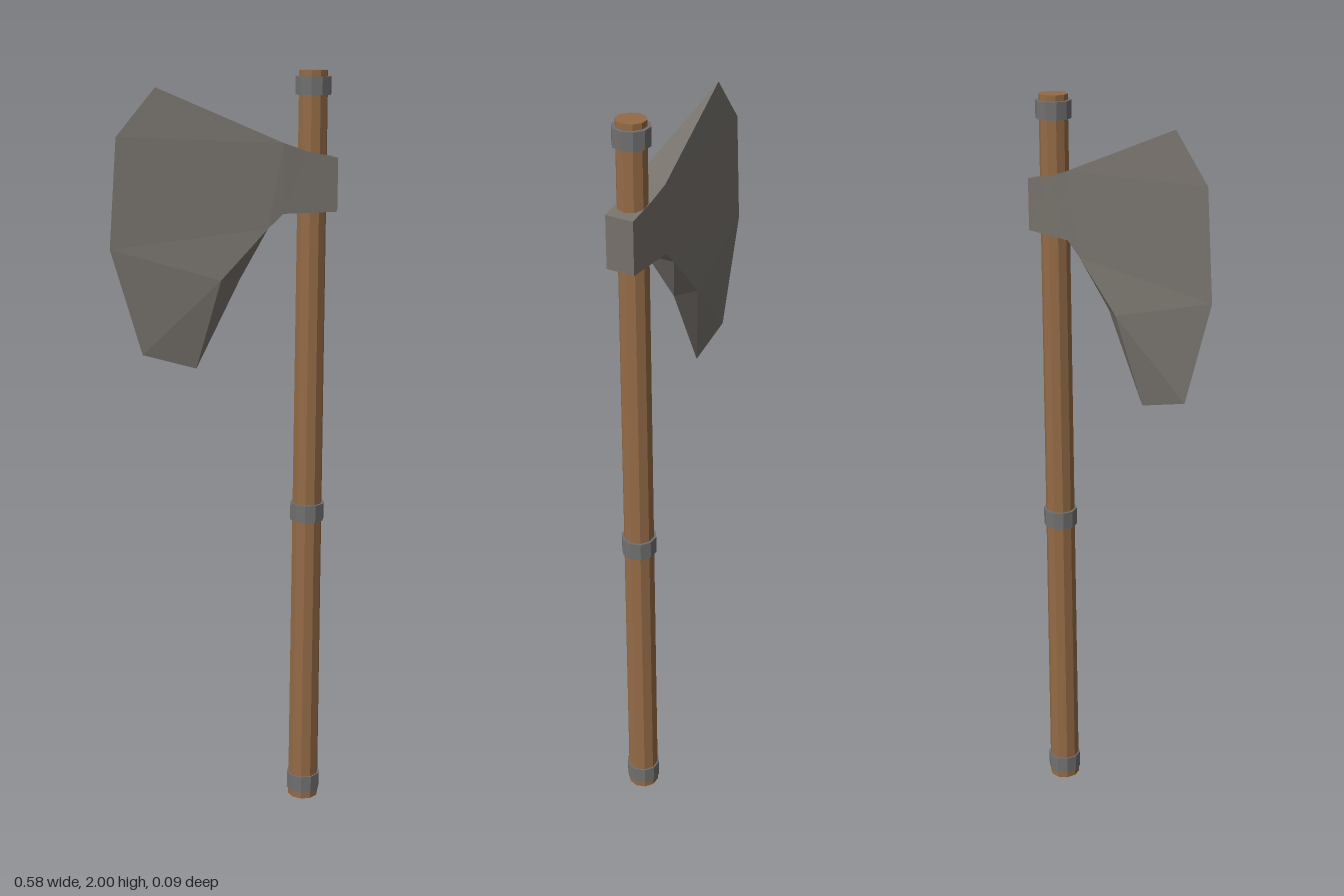
import * as THREE from 'three';

const mat = (name, color) => {
  const m = new THREE.MeshStandardMaterial({ color, flatShading: true });
  m.name = name;
  return m;
};

// Axe head corners: x, y, half thickness in z
const P = {
  buttLow: [0.289, 1.65, 0.037], buttHigh: [0.289, 1.785, 0.037],
  eyeTop: [0.21, 1.802, 0.037], neckTop: [0.15, 1.823, 0.039],
  toe: [-0.17, 1.96, 0], edgeHigh: [-0.27, 1.84, 0],
  edgeMid: [-0.29, 1.56, 0], edgeLow: [-0.21, 1.285, 0],
  heel: [-0.07, 1.245, 0], beard: [-0.01, 1.48, 0.036],
  spine: [0.046, 1.48, 0], neckLow: [0.11, 1.61, 0.038],
  eyeLow: [0.15, 1.647, 0.038],
};

// Cheek triangles, counter-clockwise from the front
const cheek = [
  'toe edgeHigh neckTop', 'edgeHigh edgeMid neckTop', 'edgeMid neckLow neckTop',
  'edgeMid beard neckLow', 'edgeMid edgeLow beard', 'edgeLow heel beard',
  'heel spine beard', 'beard spine neckLow', 'neckTop neckLow eyeLow',
  'neckTop eyeLow eyeTop', 'eyeTop eyeLow buttLow', 'eyeTop buttLow buttHigh',
];
// Rim that joins the two cheeks, in counter-clockwise order
const rim = ['spine', 'neckLow', 'eyeLow', 'buttLow', 'buttHigh', 'eyeTop', 'neckTop', 'toe'];

function axeHeadGeometry() {
  const pos = [];
  const corner = (n, side) => [P[n][0], P[n][1], P[n][2] * side];
  const tri = (...pts) => pts.forEach((p) => pos.push(...p));
  for (const face of cheek) {
    const [a, b, c] = face.split(' ');
    tri(corner(a, 1), corner(b, 1), corner(c, 1));
    tri(corner(a, -1), corner(c, -1), corner(b, -1));
  }
  for (let i = 0; i < rim.length - 1; i++) {
    const [a, b] = [rim[i], rim[i + 1]];
    if (P[a][2] > 0) tri(corner(a, 1), corner(a, -1), corner(b, -1));
    if (P[b][2] > 0) tri(corner(a, 1), corner(b, -1), corner(b, 1));
  }
  const g = new THREE.BufferGeometry();
  g.setAttribute('position', new THREE.Float32BufferAttribute(pos, 3));
  g.computeVertexNormals();
  return g;
}

export function createModel() {
  const group = new THREE.Group();
  group.name = 'axe';
  const wood = mat('wood', 0x946b46);
  const steel = mat('steel', 0x76716b);
  const iron = mat('iron', 0x707070);
  const shaftX = 0.23;

  // Ten-sided rod standing on the shaft axis
  const rod = (name, rTop, rBottom, y0, y1, material) => {
    const g = new THREE.CylinderGeometry(rTop, rBottom, y1 - y0, 10);
    g.rotateY(Math.PI / 2);
    const m = new THREE.Mesh(g, material);
    m.position.set(shaftX, (y0 + y1) / 2, 0);
    m.name = name;
    group.add(m);
  };

  rod('handle', 0.037, 0.042, 0, 2, wood);
  rod('bottomRing', 0.046, 0.046, 0.02, 0.068, iron);
  rod('middleRing', 0.046, 0.046, 0.82, 0.868, iron);
  rod('topRing', 0.046, 0.046, 1.94, 1.985, iron);

  const head = new THREE.Mesh(axeHeadGeometry(), steel);
  head.name = 'axeHead';
  group.add(head);
  return group;
}
